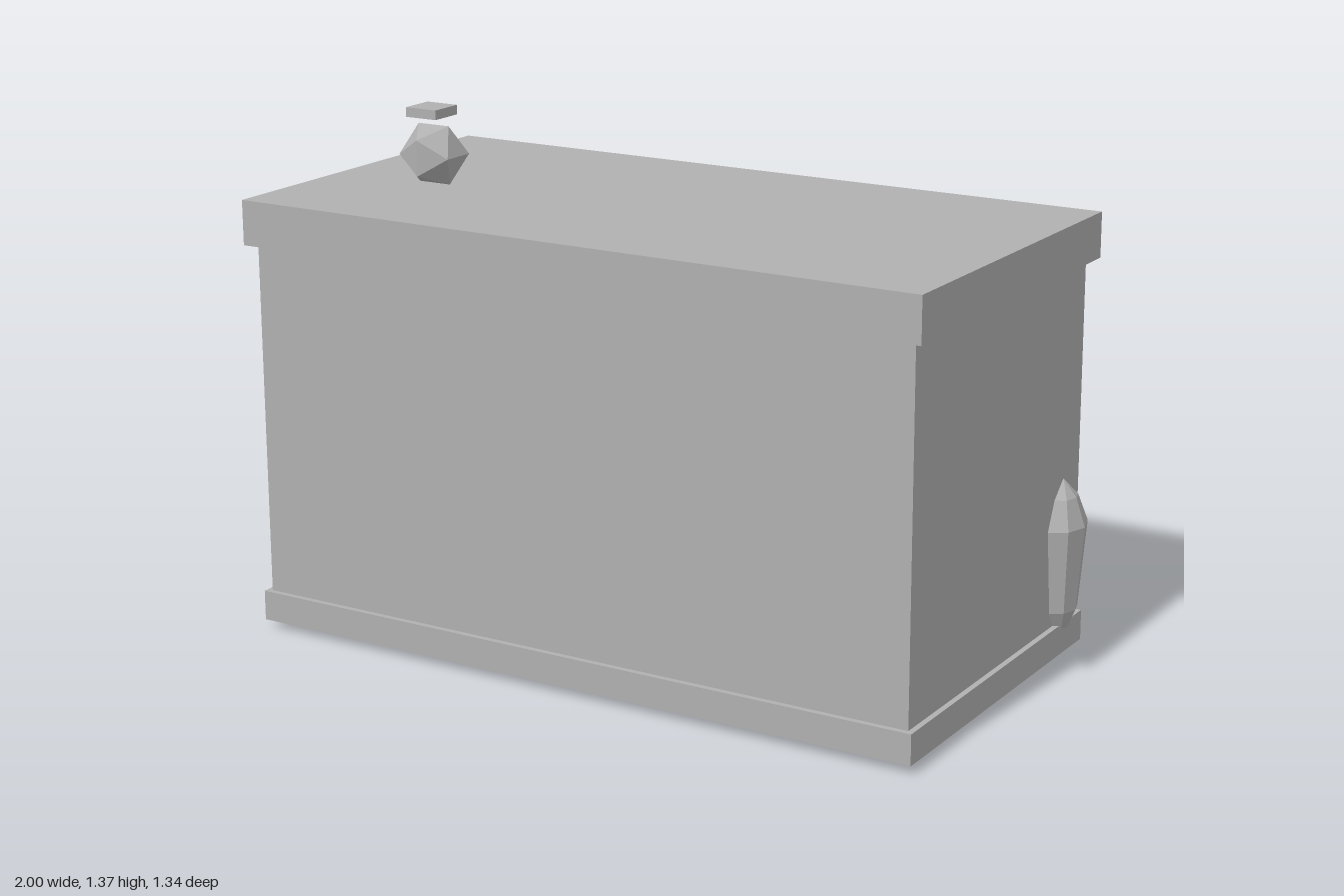
import * as THREE from 'three';

export function createModel() {
  const model = new THREE.Group();
  model.name = 'adobeHouse';
  const clay = new THREE.MeshStandardMaterial({ color: 0xb0b0b0 });
  clay.name = 'clay grey';

  const add = (name, geo, x = 0, y = 0, z = 0, parent = model) => {
    // unshared corners keep every facet crisp
    const g = geo.index ? geo.toNonIndexed() : geo;
    g.computeVertexNormals();
    const mesh = new THREE.Mesh(g, clay);
    mesh.name = name;
    mesh.position.set(x, y, z);
    parent.add(mesh);
    return mesh;
  };
  // box given by its limits on each axis
  const block = (name, x0, x1, y0, y1, z0, z1) =>
    add(name, new THREE.BoxGeometry(x1 - x0, y1 - y0, z1 - z0), (x0 + x1) / 2, (y0 + y1) / 2, (z0 + z1) / 2);
  const rod = (name, r, x, y, z0, z1, sides = 8) => {
    const mesh = add(name, new THREE.CylinderGeometry(r, r, Math.abs(z1 - z0), sides), x, y, (z0 + z1) / 2);
    mesh.rotation.x = Math.PI / 2;
    return mesh;
  };
  const lathe = (pts, sides) => new THREE.LatheGeometry(pts.map(p => new THREE.Vector2(p[0], p[1])), sides);

  // Shell of the house
  block('walls', -0.945, 0.935, 0.1, 1.045, -0.3, 0.64);
  block('plinth', -0.96, 0.95, 0.025, 0.105, -0.315, 0.655);
  block('parapet', -0.97, 0.962, 1.042, 1.16, -0.327, 0.667);

  // Roof beam ends
  for (let i = 0; i < 7; i++) rod('beamEnd', 0.022, -0.815 + i * 0.27, 0.952, -0.28, -0.435);

  // Door
  block('doorFrame', -0.57, -0.2, 0.003, 0.715, -0.317, -0.295);
  block('door', -0.535, -0.235, 0.07, 0.68, -0.335, -0.31);
  block('doorstep', -0.57, -0.2, 0.025, 0.07, -0.4, -0.3);
  add('doorKnob', new THREE.IcosahedronGeometry(0.012, 0), -0.265, 0.375, -0.338);

  // Window with bars
  block('windowFrame', 0.2, 0.64, 0.355, 0.715, -0.317, -0.295);
  block('windowPane', 0.235, 0.605, 0.39, 0.68, -0.325, -0.315);
  for (let i = 0; i < 4; i++) {
    const x = 0.285 + i * 0.09;
    block('windowBar', x - 0.01, x + 0.01, 0.385, 0.68, -0.337, -0.322);
  }

  // Awning: sloping board, raised battens and two posts
  const awning = new THREE.Group();
  awning.name = 'awning';
  awning.position.set(0.425, 0.662, -0.495);
  awning.rotation.x = -Math.atan2(0.097, 0.335);
  awning.rotation.x *= -1;
  awning.rotation.x = -Math.abs(awning.rotation.x);
  model.add(awning);
  add('awningBoard', new THREE.BoxGeometry(0.7, 0.013, 0.345), 0, 0, 0, awning);
  for (let i = 0; i < 4; i++)
    add('awningBatten', new THREE.BoxGeometry(0.06, 0.012, 0.355), -0.23 + i * 0.157, 0.009, -0.002, awning);
  for (const x of [0.14, 0.705])
    add('awningPost', new THREE.CylinderGeometry(0.01, 0.01, 0.615, 8), x, 0.3325, -0.637);

  // Bench
  block('benchSeat', 0.13, 0.73, 0.13, 0.157, -0.515, -0.335);
  for (const x of [0.2, 0.66]) block('benchLeg', x - 0.027, x + 0.027, 0.025, 0.13, -0.503, -0.35);

  // Potted plants
  for (const x of [-0.815, 0.8]) {
    add('flowerPot', lathe([[0, 0.025], [0.06, 0.025], [0.078, 0.135], [0.09, 0.135], [0.09, 0.157], [0.068, 0.157], [0.06, 0.145], [0, 0.145]], 10), x, 0, -0.425);
    add('pottedPlant', new THREE.IcosahedronGeometry(0.073, 0), x, 0.225, -0.422);
  }

  // Tall succulents against the side walls
  for (const s of [-1, 1]) {
    const plant = add('sideSucculent', lathe([[0, 0.09], [0.032, 0.095], [0.06, 0.145], [0.085, 0.37], [0.05, 0.445], [0, 0.49]], 8), s * 0.936, 0, -0.205);
    plant.scale.x = 0.74;
  }

  // Hanging string of peppers
  add('pepperCord', new THREE.CylinderGeometry(0.003, 0.003, 0.35, 6), -0.545, 0.695, -0.355);
  for (let i = 0; i < 7; i++) {
    const pepper = add('pepper', new THREE.IcosahedronGeometry(0.014, 0), -0.545, 0.555 + i * 0.0465, -0.355);
    pepper.scale.y = 1.2;
    pepper.rotation.y = i * 0.8;
  }

  // Lantern on a bracket
  rod('lanternBracket', 0.007, -0.65, 0.805, -0.29, -0.475, 6);
  add('lantern', lathe([[0, 0.67], [0.022, 0.677], [0.039, 0.705], [0.037, 0.745], [0.02, 0.778], [0, 0.797]], 6), -0.65, 0, -0.477);

  // Rooftop ornament and the plate above it
  add('roofOrnament', new THREE.IcosahedronGeometry(0.09, 0), -0.65, 1.245, 0.275);
  block('roofOrnamentCap', -0.7, -0.607, 1.345, 1.37, 0.23, 0.325);

  return model;
}
